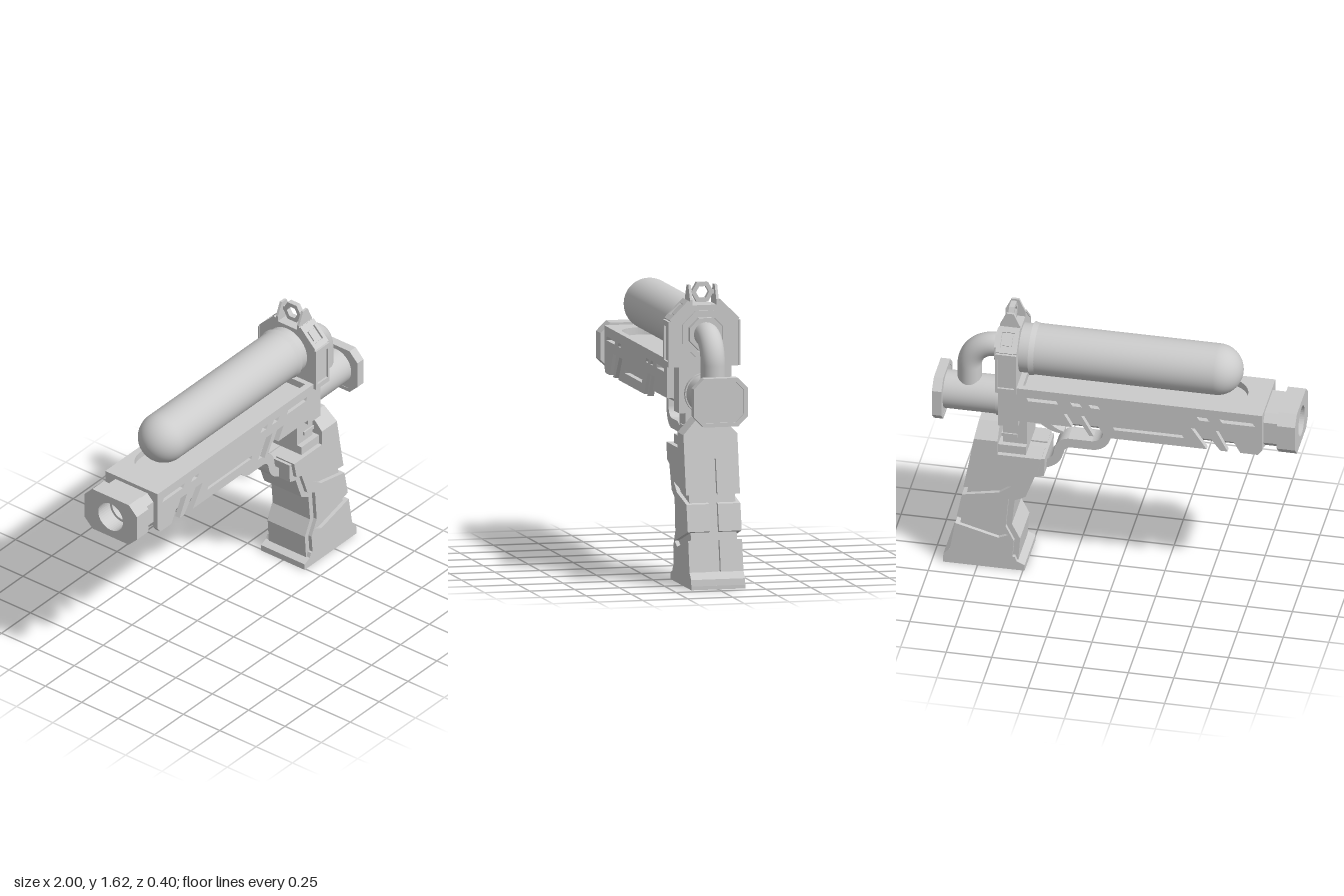
import * as THREE from 'three';

const mat = new THREE.MeshStandardMaterial({ color: 0xcccccc });
const thin = new THREE.MeshStandardMaterial({ color: 0xcccccc, side: THREE.DoubleSide });
const V = (x, y) => new THREE.Vector2(x, y);

function shapeOf(points, holes = []) {
  const s = new THREE.Shape(points.map(([x, y]) => V(x, y)));
  holes.forEach(h => s.holes.push(new THREE.Path(h.map(([x, y]) => V(x, y)))));
  return s;
}
// x-y outline extruded from z0 to z1
function alongZ(shape, z0, z1) {
  return new THREE.ExtrudeGeometry(shape, { depth: z1 - z0, bevelEnabled: false, curveSegments: 20 }).translate(0, 0, z0);
}
// z-y outline (symmetric in z) extruded from x0 to x1
function alongX(shape, x0, x1) {
  return alongZ(shape, x0, x1).rotateY(Math.PI / 2);
}
// x-z outline (symmetric in z) extruded from y0 to y1
function alongY(shape, y0, y1) {
  return alongZ(shape, y0, y1).rotateX(-Math.PI / 2);
}
const rect = (x0, x1, y0, y1, slant = 0) => [[x0, y0], [x1, y0], [x1 + slant, y1], [x0 + slant, y1]];
const mirrorPts = half => [...half, ...half.map(([x, y]) => [-x, y]).reverse()];
const ring = (n, r, cy, turn = 0) => Array.from({ length: n }, (_, i) => {
  const a = turn + i / n * Math.PI * 2;
  return [r * Math.cos(a), cy + r * Math.sin(a)];
});
// chamfered rectangle centred on (0, cy)
const octagon = (w, h, c, cy) => mirrorPts([[w - c, cy - h], [w, cy - h + c], [w, cy + h - c], [w - c, cy + h]]);

export function createModel() {
  const root = new THREE.Group();
  const add = (name, geo, material = mat, parent = root) => {
    const m = new THREE.Mesh(geo, material);
    m.name = name;
    parent.add(m);
    return m;
  };
  const box = (name, x0, x1, y0, y1, z) =>
    add(name, new THREE.BoxGeometry(x1 - x0, y1 - y0, z * 2).translate((x0 + x1) / 2, (y0 + y1) / 2, 0));
  const bothSides = (name, shape, z0, z1) => {
    add(name, alongZ(shape, z0, z1));
    add(name, alongZ(shape, -z1, -z0));
  };
  const rod = (name, x0, x1, y, r, r2 = r, n = 48) =>
    add(name, new THREE.CylinderGeometry(r2, r, x1 - x0, n).rotateZ(-Math.PI / 2).translate((x0 + x1) / 2, y, 0));

  // Barrel body: chamfered core, deck with a trough for the tank, slotted side plates
  add('barrelCore', alongX(shapeOf(mirrorPts([[0.11, 0.955], [0.15, 0.99], [0.15, 1.16]])), -0.82, 0.53));
  const deck = shapeOf(rect(-0.82, 0.53, -0.152, 0.152));
  const trough = new THREE.Path();
  trough.moveTo(0.5, -0.145);
  trough.lineTo(-0.56, -0.145);
  trough.absarc(-0.56, 0, 0.145, -Math.PI / 2, Math.PI / 2, true);
  trough.lineTo(0.5, 0.145);
  deck.holes.push(trough);
  add('barrelDeck', alongY(deck, 1.155, 1.2));
  const slots = [
    rect(-0.78, -0.6, 1.125, 1.147, 0.015), rect(-0.53, -0.475, 1.125, 1.147, 0.015),
    rect(0.07, 0.12, 1.125, 1.147, 0.015), rect(0.17, 0.22, 1.125, 1.147, 0.015),
    rect(0.3, 0.465, 1.125, 1.147, 0.01), rect(-0.39, -0.01, 1.0, 1.018, 0.01),
  ];
  const notch = (b0, b1, t0, t1) => [[b0, 0.945], [t0, 1.07], [t1, 1.07], [b1, 0.945]];
  bothSides('barrelSidePlate', shapeOf([
    [-0.82, 1.2], [-0.82, 0.975], [-0.795, 0.945],
    ...notch(-0.7, -0.63, -0.63, -0.565), ...notch(-0.59, -0.515, -0.495, -0.43),
    ...notch(0.04, 0.105, 0.115, 0.175),
    [0.13, 0.945], [0.205, 1.07], [0.27, 1.07], [0.225, 0.99], [0.53, 0.99], [0.53, 1.2],
  ], slots), 0.149, 0.18);

  // Muzzle block with an open bore
  const muzzle = shapeOf(octagon(0.18, 0.128, 0.055, 1.073), [ring(40, 0.085, 1.073)]);
  add('muzzle', alongX(muzzle, -1, -0.9));
  add('muzzleNeck', alongX(shapeOf(octagon(0.15, 0.105, 0.04, 1.073), [ring(40, 0.07, 1.073)]), -0.9, -0.82));

  // Tank with a domed end and collars
  const dome = Array.from({ length: 17 }, (_, i) => {
    const a = i / 16 * Math.PI / 2;
    return V(0.14 * Math.sin(a), -0.54 - 0.14 * Math.cos(a));
  });
  const tank = add('tank', new THREE.LatheGeometry([...dome, V(0.14, 0), V(0.14, 0.45)], 56).rotateZ(-Math.PI / 2));
  tank.position.y = 1.35;
  rod('tankLip', 0.445, 0.475, 1.35, 0.14, 0.147);
  rod('tankCollar', 0.475, 0.54, 1.35, 0.135);

  // Clamp around the tank end, with framed panels and a sight on top
  add('clamp', alongX(shapeOf(mirrorPts([[0.188, 1.17], [0.188, 1.418], [0.08, 1.526], [0.066, 1.505]])), 0.53, 0.64));
  for (const turn of [0, Math.PI]) {
    const side = new THREE.Group();
    side.name = 'clampSide';
    side.position.x = 0.585;
    side.rotation.y = turn;
    root.add(side);
    const frame = (h, b) => alongZ(shapeOf(rect(-0.058, 0.058, -h, h), [rect(-b, b, -h + 0.03, h - 0.03)]), 0, 0.012);
    add('sidePanel', frame(0.124, 0.045), mat, side).position.set(0, 1.295, 0.188);
    const slope = add('slopePanel', frame(0.073, 0.036), mat, side);
    slope.position.set(0, 1.472, 0.134);
    slope.rotation.x = -Math.PI / 4;
    add('slopeInsert', new THREE.BoxGeometry(0.05, 0.06, 0.012), mat, side).position.set(0, 1.473, 0.136);
    side.children[2].rotation.x = -Math.PI / 4;
  }
  bothSides('sightProng', shapeOf([[0.53, 1.5], [0.64, 1.5], [0.64, 1.535], [0.605, 1.61], [0.565, 1.61], [0.53, 1.535]]), 0.066, 0.08);
  add('sightRing', alongX(shapeOf(ring(6, 0.062, 1.57), [ring(6, 0.036, 1.57)]), 0.57, 0.6));
  bothSides('sightPin', shapeOf(rect(0.575, 0.595, 1.56, 1.58)), 0.055, 0.068);
  const oct = Math.PI / 8;
  add('clampRearRing', alongX(shapeOf(ring(8, 0.135, 1.35, oct), [ring(8, 0.105, 1.35, oct)]), 0.635, 0.652));
  add('pipeSocket', alongX(shapeOf(ring(8, 0.095, 1.35, oct)), 0.635, 0.672));

  // Elbow pipe and rear chamber
  const path = new THREE.CurvePath();
  const P = (x, y) => new THREE.Vector3(x, y, 0);
  path.add(new THREE.LineCurve3(P(0.64, 1.35), P(0.68, 1.35)));
  path.add(new THREE.CubicBezierCurve3(P(0.68, 1.35), P(0.76, 1.35), P(0.822, 1.288), P(0.822, 1.205)));
  path.add(new THREE.LineCurve3(P(0.822, 1.205), P(0.822, 1.08)));
  add('elbowPipe', new THREE.TubeGeometry(path, 48, 0.066, 32), thin);
  rod('rearChamber', 0.63, 0.955, 1.025, 0.105);
  rod('chamberCollar', 0.635, 0.66, 1.025, 0.112);
  add('rearCap', alongX(shapeOf(octagon(0.15, 0.132, 0.055, 1.023), [octagon(0.128, 0.11, 0.045, 1.023)]), 0.948, 1));
  add('rearCapFace', alongX(shapeOf(octagon(0.13, 0.112, 0.045, 1.023)), 0.95, 0.99));

  // Column joining clamp, body and grip
  box('column', 0.53, 0.638, 0.92, 1.18, 0.14);
  box('columnNeck', 0.545, 0.62, 0.78, 0.93, 0.1);
  box('columnTrim', 0.54, 0.626, 0.83, 0.85, 0.108);
  box('gripSaddle', 0.488, 0.65, 0.74, 0.79, 0.13);
  box('saddleFront', 0.488, 0.545, 0.79, 0.955, 0.1);

  // Trigger guard and trigger
  box('guardMount', 0.06, 0.53, 0.93, 0.965, 0.06);
  const guard = new THREE.Shape();
  guard.moveTo(0.03, 0.97);
  guard.lineTo(0.035, 0.87);
  guard.quadraticCurveTo(0.05, 0.785, 0.13, 0.77);
  guard.lineTo(0.255, 0.77);
  guard.quadraticCurveTo(0.295, 0.765, 0.3, 0.72);
  guard.quadraticCurveTo(0.315, 0.645, 0.4, 0.62);
  guard.lineTo(0.41, 0.67);
  guard.quadraticCurveTo(0.355, 0.685, 0.35, 0.73);
  guard.quadraticCurveTo(0.34, 0.815, 0.27, 0.825);
  guard.lineTo(0.14, 0.825);
  guard.quadraticCurveTo(0.085, 0.835, 0.08, 0.88);
  guard.lineTo(0.075, 0.97);
  add('triggerGuard', alongZ(guard, -0.055, 0.055));
  const trigger = new THREE.Shape();
  trigger.moveTo(0.3, 0.835);
  trigger.quadraticCurveTo(0.41, 0.84, 0.47, 0.94);
  trigger.lineTo(0.39, 0.94);
  trigger.quadraticCurveTo(0.385, 0.875, 0.3, 0.85);
  add('trigger', alongZ(trigger, -0.03, 0.03));

  // Grip: core, raised halves with slanted grooves, chamfered heel and base
  add('gripCore', alongZ(shapeOf([
    [0.385, 0.725], [0.39, 0.615], [0.44, 0.6], [0.49, 0.465], [0.55, 0.435], [0.565, 0.28], [0.52, 0.19],
    [0.53, 0.05], [0.885, 0.05], [0.765, 0.71], [0.64, 0.73],
  ]), -0.128, 0.128));
  bothSides('gripHalf', shapeOf([
    [0.4, 0.735], [0.42, 0.64], [0.465, 0.625], [0.515, 0.49], [0.58, 0.455], [0.595, 0.275], [0.55, 0.185], [0.56, 0.07],
    [0.905, 0.07], [0.872, 0.26], [0.635, 0.2], [0.58, 0.22], [0.864, 0.305].map((v, i) => i ? v : 0.864),
    [0.835, 0.45], [0.63, 0.49], [0.56, 0.54], [0.827, 0.5], [0.79, 0.7], [0.64, 0.735],
  ].map(([x, y]) => (x === 0.635 ? [0.635, 0.195] : [x, y]))), 0.024, 0.15);
  const heel = alongX(shapeOf(mirrorPts([[0.15, 0.69], [0.15, 0.82], [0.075, 0.9]])), 0.64, 0.755);
  const p = heel.attributes.position;
  for (let i = 0; i < p.count; i++) {
    if (p.getX(i) > 0.7) p.setX(i, 0.755 + (0.9 - p.getY(i)) * 0.18); // lean the back face
  }
  heel.computeVertexNormals();
  add('gripHeel', heel);
  add('gripBase', alongZ(shapeOf([
    [0.491, 0.018], [0.94, 0.018], [0.936, 0.055], [0.902, 0.09], [0.545, 0.082], [0.535, 0.055], [0.491, 0.035],
  ]), -0.15, 0.15));
  add('baseRim', alongY(shapeOf(rect(0.491, 0.94, -0.15, 0.15), [rect(0.515, 0.916, -0.126, 0.126)]), 0, 0.02));

  return root;
}
